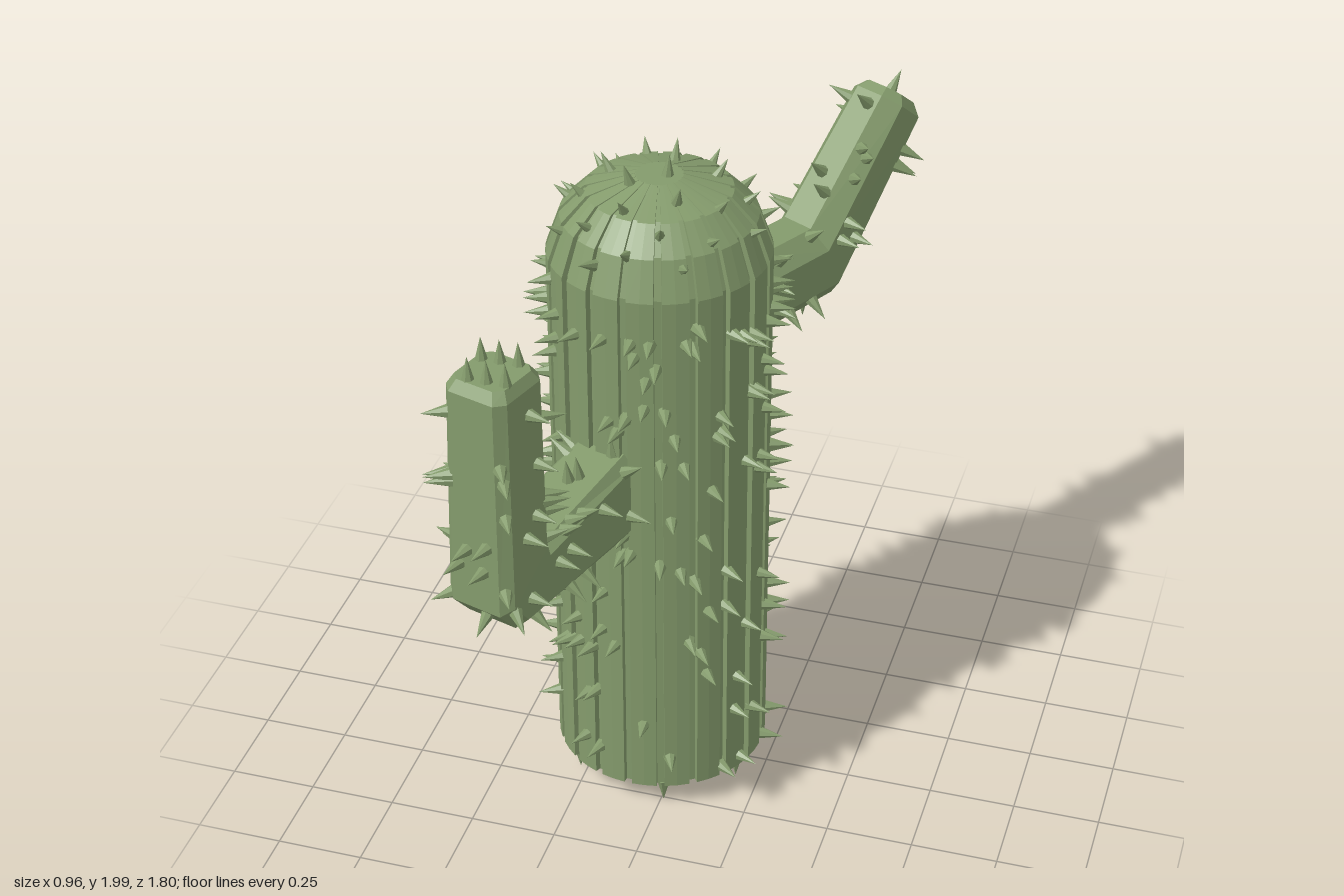
import * as THREE from 'three';
import { mergeGeometries } from 'three/addons/utils/BufferGeometryUtils.js';

const V = (x, y, z) => new THREE.Vector3(x, y, z);
const AXIS = V(-0.073, 0, 0); // trunk centre line
const UP = V(0, 1, 0);

let seed = 7;
const rand = () => (seed = (seed * 16807) % 2147483647) / 2147483647;

// Skin through closed rings of equal length, capped at both ends.
function loft(rings) {
  const n = rings[0].length;
  const points = rings.flat();
  const index = [];
  for (let i = 0; i < rings.length - 1; i++) {
    for (let j = 0; j < n; j++) {
      const a = i * n + j, b = i * n + (j + 1) % n;
      index.push(a, b, b + n, a, b + n, a + n);
    }
  }
  const centre = (ring) => ring.reduce((s, p) => s.add(p), V(0, 0, 0)).divideScalar(n);
  const first = points.push(centre(rings[0])) - 1;
  const last = points.push(centre(rings[rings.length - 1])) - 1;
  const top = (rings.length - 1) * n;
  for (let j = 0; j < n; j++) {
    const k = (j + 1) % n;
    index.push(first, k, j, last, top + j, top + k);
  }
  const geo = new THREE.BufferGeometry().setFromPoints(points);
  geo.setIndex(index);
  geo.computeVertexNormals();
  return geo;
}

// One thorn standing on a surface point along its normal.
function spine(point, normal) {
  const geo = new THREE.ConeGeometry(0.02, 0.075, 7);
  geo.translate(0, 0.032, 0);
  geo.applyQuaternion(new THREE.Quaternion().setFromUnitVectors(UP, normal));
  return geo.translate(point.x, point.y, point.z);
}

// Trunk cross-section: wide ribs separated by narrow grooves.
function ribbedRing(radius, y, ribs = 20) {
  const ring = [];
  const inner = radius * 0.945;
  for (let i = 0; i < ribs; i++) {
    for (const [t, r] of [[0, radius], [0.38, radius], [0.76, radius], [0.77, inner], [0.99, inner]]) {
      const a = ((i + t) / ribs) * Math.PI * 2;
      ring.push(V(AXIS.x + r * Math.cos(a), y, -r * Math.sin(a)));
    }
  }
  return ring;
}

// Arm rings: each row is [inner d, inner y, outer d, outer y, half width],
// with d the distance from the trunk axis along the arm's heading.
function armRings(heading, rows, k) {
  const side = UP.clone().cross(heading);
  const section = [[1, k], [k, 1], [-k, 1], [-1, k], [-1, -k], [-k, -1], [k, -1], [1, -k]];
  return rows.map(([di, yi, dout, yo, w]) => {
    const inner = AXIS.clone().addScaledVector(heading, di).setY(yi);
    const outer = AXIS.clone().addScaledVector(heading, dout).setY(yo);
    return section.map(([s, t]) =>
      outer.clone().lerp(inner, (t + 1) / 2).addScaledVector(side, s * w));
  });
}

// Thorns scattered over one stretch of an arm.
function armSpines(from, to, count) {
  const list = [];
  for (let i = 0; i < count; i++) {
    const j = i % 8, k = (j + 1) % 8;
    const u = 0.15 + 0.7 * rand(), v = 0.08 + 0.87 * rand();
    const low = from[j].clone().lerp(from[k], u);
    const high = to[j].clone().lerp(to[k], u);
    const normal = from[k].clone().sub(from[j]).cross(to[j].clone().sub(from[j])).normalize();
    list.push(spine(low.lerp(high, v), normal));
  }
  return list;
}

export function createModel() {
  const model = new THREE.Group();
  model.name = 'cactus';
  const green = new THREE.MeshStandardMaterial({ color: 0x849b6c, flatShading: true });
  const add = (name, geo) => {
    const mesh = new THREE.Mesh(geo, green);
    mesh.name = name;
    model.add(mesh);
  };

  // Ribbed trunk with a domed top
  const profile = [[0.307, 0.08], [0.307, 1.71], [0.268, 1.82], [0.2, 1.89], [0.065, 1.93]];
  add('trunk', loft(profile.map(([r, y]) => ribbedRing(r, y))));

  // Trunk thorns: around the sides, denser in the upper half
  const thorns = [];
  for (let i = 0; i < 210; i++) {
    const a = i * 2.39996;
    const y = 0.1 + 1.58 * Math.pow(rand(), 0.8);
    const normal = V(Math.cos(a), 0, Math.sin(a));
    thorns.push(spine(AXIS.clone().addScaledVector(normal, 0.302).setY(y), normal));
  }
  // Dome thorns
  for (let i = 0; i < 28; i++) {
    const a = i * 2.39996, tilt = 0.08 + 1.15 * Math.sqrt(i / 28);
    const normal = V(Math.sin(tilt) * Math.cos(a), Math.cos(tilt), Math.sin(tilt) * Math.sin(a));
    thorns.push(spine(V(AXIS.x + 0.285 * normal.x, 1.69 + 0.235 * normal.y, 0.285 * normal.z), normal));
  }
  // Thorns under the base
  for (let i = 0; i < 14; i++) {
    const a = i * 2.39996, r = i % 3 ? 0.27 : 0.13;
    thorns.push(spine(V(AXIS.x + r * Math.cos(a), 0.07, r * Math.sin(a)), V(0, -1, 0)));
  }
  add('trunkSpines', mergeGeometries(thorns));

  // Front arm: reaches out, then turns straight up
  const front = armRings(V(-0.29, 0, 0.957).normalize(), [
    [0.22, 1.23, 0.22, 0.945, 0.095],
    [0.655, 1.165, 0.8, 0.965, 0.105],
    [0.66, 1.19, 0.865, 1.04, 0.105],
    [0.655, 1.68, 0.85, 1.68, 0.095],
    [0.675, 1.71, 0.83, 1.71, 0.078],
  ], 0.72);
  add('frontArm', loft(front));
  const crown = [-1, 0, 1].flatMap((i) => [-1, 1].map((j) =>
    spine(V(-0.29 + i * 0.05, 1.705, 0.72 + j * 0.05), UP)));
  add('frontArmSpines', mergeGeometries([
    ...armSpines(front[0], front[1], 32),
    ...armSpines(front[1], front[2], 8),
    ...armSpines(front[2], front[3], 32),
    ...crown,
  ]));

  // Back arm: reaches out, then bends upward at a slant
  const back = armRings(V(0.47, 0, -0.883).normalize(), [
    [0.24, 1.57, 0.24, 1.27, 0.1],
    [0.33, 1.56, 0.33, 1.31, 0.1],
    [0.55, 1.56, 0.645, 1.315, 0.1],
    [0.84, 1.87, 0.99, 1.745, 0.09],
    [0.875, 1.88, 0.985, 1.79, 0.065],
  ], 0.5);
  add('backArm', loft(back));
  const tip = back[4].reduce((s, p) => s.add(p), V(0, 0, 0)).divideScalar(8);
  add('backArmSpines', mergeGeometries([
    ...armSpines(back[0], back[1], 8),
    ...armSpines(back[1], back[2], 16),
    ...armSpines(back[2], back[3], 24),
    spine(tip, V(0.3, 0.75, -0.55).normalize()),
  ]));

  return model;
}
